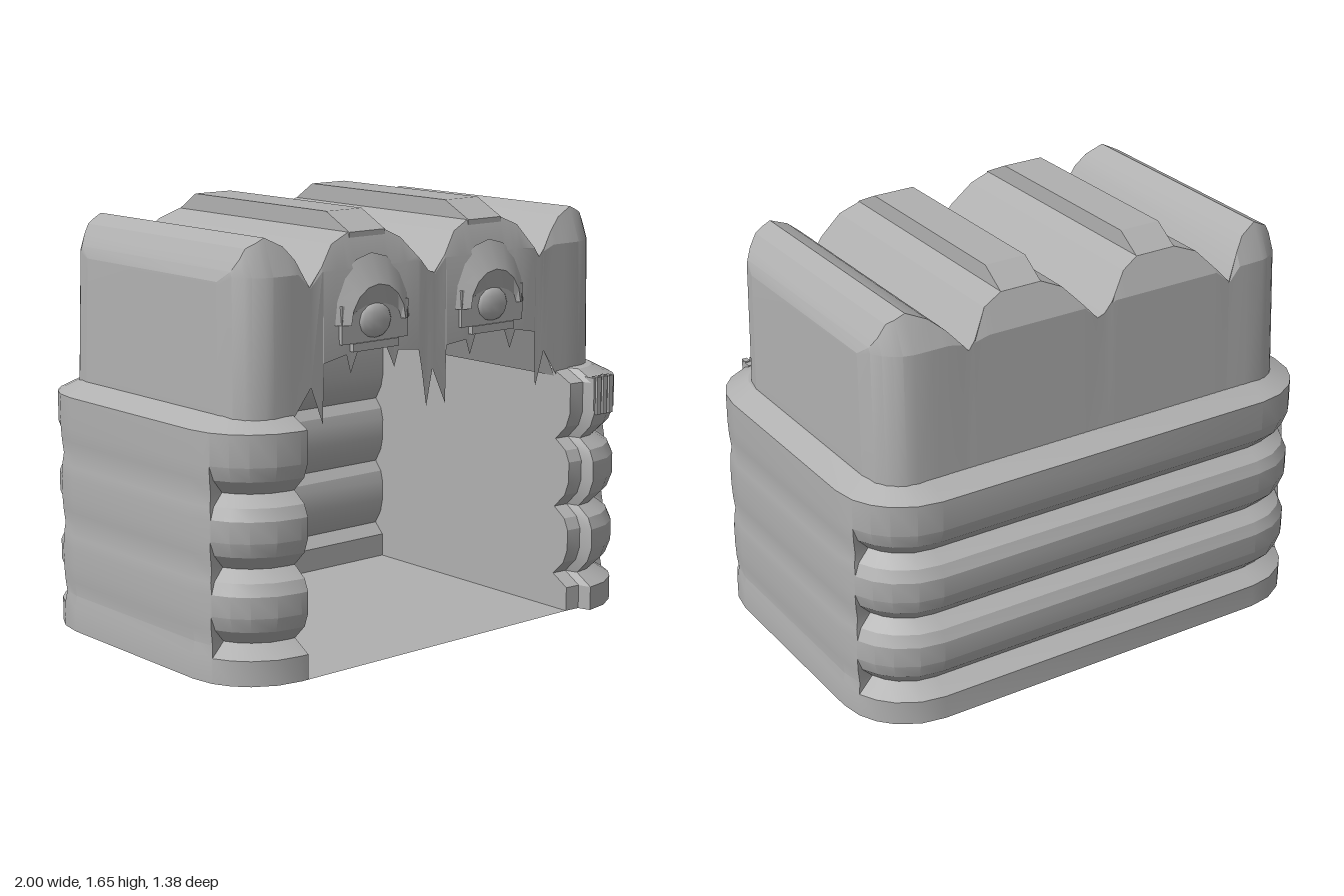
import * as THREE from 'three';
import { toCreasedNormals } from 'three/addons/utils/BufferGeometryUtils.js';

const stone = new THREE.MeshStandardMaterial({ color: 0xb0b0b0, side: THREE.DoubleSide });
stone.name = 'plain grey';

// Skin over rows of [x, y, z] points; closed joins the end of each row to its start
function skin(rows, closed = false) {
  const pos = [];
  const n = rows[0].length;
  for (let j = 0; j < rows.length - 1; j++) {
    for (let i = 0; i < (closed ? n : n - 1); i++) {
      const k = (i + 1) % n;
      const a = rows[j][i], b = rows[j][k], c = rows[j + 1][k], d = rows[j + 1][i];
      pos.push(...a, ...d, ...c, ...a, ...c, ...b);
    }
  }
  const g = new THREE.BufferGeometry();
  g.setAttribute('position', new THREE.Float32BufferAttribute(pos, 3));
  return toCreasedNormals(g, 0.35);
}

// Height of a polyline at x
function heightAt(line, x) {
  for (let i = 1; i < line.length; i++) {
    const [x0, y0] = line[i - 1], [x1, y1] = line[i];
    if (x <= x1 + 1e-6) return y0 + (y1 - y0) * (x - x0) / (x1 - x0);
  }
  return line[line.length - 1][1];
}

// Plan of the ribbed wall: position, inset direction and how strongly the ribs show
function wallPlan() {
  const plan = [{ x: -0.69, z: 0.625, nx: 0, nz: 1, f: 1 }];
  const fromSide = [[0, 0.12], [19, 0.12], [20, 1], [35, 1], [50, 1], [70, 1], [90, 1]];
  const corner = (cx, cz, sx, sz, order) => order.forEach(([deg, f]) => {
    const t = deg * Math.PI / 180;
    const nx = sx * Math.cos(t), nz = sz * Math.sin(t);
    plan.push({ x: cx + 0.28 * nx, z: cz + 0.28 * nz, nx, nz, f });
  });
  const toSide = [...fromSide].reverse();
  corner(-0.72, 0.345, -1, 1, toSide);
  corner(-0.72, -0.41, -1, -1, fromSide);
  corner(0.72, -0.41, 1, -1, toSide);
  corner(0.72, 0.4, 1, 1, fromSide);
  plan.push({ x: 0.705, z: 0.63, nx: 0, nz: 1, f: 1 }, { x: 0.64, z: 0.625, nx: 0, nz: 1, f: 1 });
  return plan;
}

// Rib profile: [height, inset]
const ribs = [[0, 0], [0.095, 0], [0.14, 0.075]];
for (const y of [0.14, 0.415]) {
  ribs.push([y + 0.055, 0.02], [y + 0.11, 0], [y + 0.19, 0], [y + 0.235, 0.02], [y + 0.275, 0.075]);
}
ribs.push([0.745, 0.02], [0.8, 0], [0.92, 0], [0.965, 0.09], [0.968, 0.16]);

// Scalloped roof line and toothed mouth line, as [x, y]
const roofLine = [[-0.9, 1.44], [-0.885, 1.48], [-0.84, 1.56], [-0.77, 1.595], [-0.7, 1.56],
  [-0.66, 1.51], [-0.61, 1.41], [-0.48, 1.55], [-0.39, 1.585], [-0.22, 1.585], [-0.15, 1.55],
  [-0.04, 1.42], [-0.01, 1.41], [0.12, 1.55], [0.2, 1.585], [0.37, 1.585], [0.45, 1.55],
  [0.54, 1.42], [0.62, 1.51], [0.68, 1.56], [0.76, 1.595], [0.83, 1.565], [0.885, 1.48], [0.9, 1.44]];
const mouthLine = [[-0.9, 0.94], [-0.69, 0.94], [-0.605, 1.05], [-0.55, 0.91], [-0.545, 1.13],
  [-0.44, 1.15], [-0.42, 1.08], [-0.385, 1.16], [-0.32, 1.175], [-0.25, 1.16], [-0.21, 1.08],
  [-0.19, 1.14], [-0.09, 1.13], [-0.075, 1.06], [-0.05, 0.91], [-0.02, 1.05], [0.045, 0.91],
  [0.05, 1.13], [0.15, 1.14], [0.17, 1.08], [0.2, 1.155], [0.28, 1.175], [0.35, 1.155],
  [0.38, 1.08], [0.41, 1.15], [0.515, 1.13], [0.52, 0.91], [0.565, 1.05], [0.64, 0.94], [0.9, 0.94]];

// Cross-section of the upper body at one x, from the mouth edge over the roof to the back
function upperSection(x) {
  const top = heightAt(roofLine, x), mouth = heightAt(mouthLine, x);
  const past = Math.max(0, Math.abs(x) - 0.74);
  const round = 0.16 - Math.sqrt(Math.max(0, 0.0256 - past * past));
  const shoulder = Math.min(1.46, top - 0.01);
  const lean = Math.max(0, top - 1.46) * 0.38;
  const wide = y => x * (1 + 0.012 * (1.47 - y));
  return [
    [wide(mouth), mouth, 0.545 - round],
    [wide(shoulder), shoulder, 0.54 - round],
    [x, top, 0.54 - round - lean],
    [x, top, -0.58 + round + lean * 1.2],
    [wide(shoulder), shoulder, -0.58 + round],
    [wide(0.94), 0.94, -0.6 + round],
  ];
}

export function createModel() {
  const model = new THREE.Group();
  const add = (name, geometry, x = 0, y = 0, z = 0, parent = model) => {
    const mesh = new THREE.Mesh(geometry, stone);
    mesh.name = name;
    mesh.position.set(x, y, z);
    parent.add(mesh);
    return mesh;
  };

  // Ribbed lower wall, open at the front, with a ribbed inner back
  const plan = wallPlan();
  const loop = [...plan,
    { x: 0.64, z: -0.48, nx: 0, nz: 1, f: 0.6 }, { x: -0.69, z: -0.48, nx: 0, nz: 1, f: 0.6 }];
  add('ribbedWall', skin(ribs.map(([y, inset]) => loop.map(p => {
    const d = inset * (y > 0.95 && p.f < 0.5 ? 1 : p.f);
    return [p.x - p.nx * d, y, p.z - p.nz * d];
  })), true));

  // Floor
  const floor = new THREE.ShapeGeometry(new THREE.Shape(plan.map(p => new THREE.Vector2(p.x, p.z))));
  add('floor', floor.rotateX(Math.PI / 2));

  // Upper body with scalloped roof and teeth
  const stations = [...roofLine, ...mouthLine].map(p => p[0]).concat(-0.86, 0.86, -0.8, 0.8);
  const xs = [...new Set(stations)].sort((a, b) => a - b);
  add('upperBody', skin(xs.map(upperSection)));
  for (const x of [-0.9, 0.9]) {
    const s = upperSection(x);
    const front = s.slice(0, 3), back = s.slice(3).reverse();
    add('upperSide', skin(x < 0 ? [back, front] : [front, back]));
  }

  // Sloping ceiling behind the teeth
  const ceiling = [[-0.69, 0.94], [-0.55, 1.175], [0.52, 1.175], [0.64, 0.94]];
  add('ceiling', skin(ceiling.map(([x, y]) => [[x, 0.966, -0.6], [x, y, 0.535]])));

  for (const cx of [-0.305, 0.285]) {
    // Roof ridge with sloped ends
    const side = new THREE.Shape([[-0.52, 1.56], [-0.52, 1.585], [-0.42, 1.65], [0.37, 1.65],
      [0.5, 1.585], [0.5, 1.56]].map(p => new THREE.Vector2(...p)));
    const ridge = new THREE.ExtrudeGeometry(side, { depth: 0.17, bevelEnabled: false });
    add('roofRidge', ridge.rotateY(-Math.PI / 2), cx + 0.085);

    // Eye: arched hood, socket corners, eyeball and lower lid
    const eye = new THREE.Group();
    eye.name = 'eye';
    eye.position.set(cx - 0.01, 1.26, 0);
    model.add(eye);
    const arc = (rx, ry, z) => Array.from({ length: 9 }, (_, i) => {
      const t = Math.PI * (1 - i / 8);
      return [rx * Math.cos(t), ry * Math.sin(t), z];
    });
    add('eyeHood', skin([arc(0.19, 0.25, 0.535), arc(0.13, 0.14, 0.578), arc(0.125, 0.06, 0.556)]), 0, 0, 0, eye);
    add('eyeSocket', new THREE.BoxGeometry(0.32, 0.14, 0.03), 0, 0, 0.543, eye);
    const ball = new THREE.SphereGeometry(1, 10, 6);
    ball.scale(0.08, 0.065, 0.025);
    add('eyeball', ball, 0, 0.005, 0.555, eye);
    add('lowerLid', new THREE.BoxGeometry(0.22, 0.03, 0.04), 0, -0.085, 0.545, eye);
  }

  // Small latch on the left front corner
  add('latchPlate', new THREE.BoxGeometry(0.1, 0.13, 0.05), 0.765, 0.875, 0.655);
  for (let i = 0; i < 3; i++) {
    add('latchBar', new THREE.BoxGeometry(0.022, 0.15, 0.03), 0.735 + i * 0.034, 0.87, 0.675);
  }
  return model;
}
